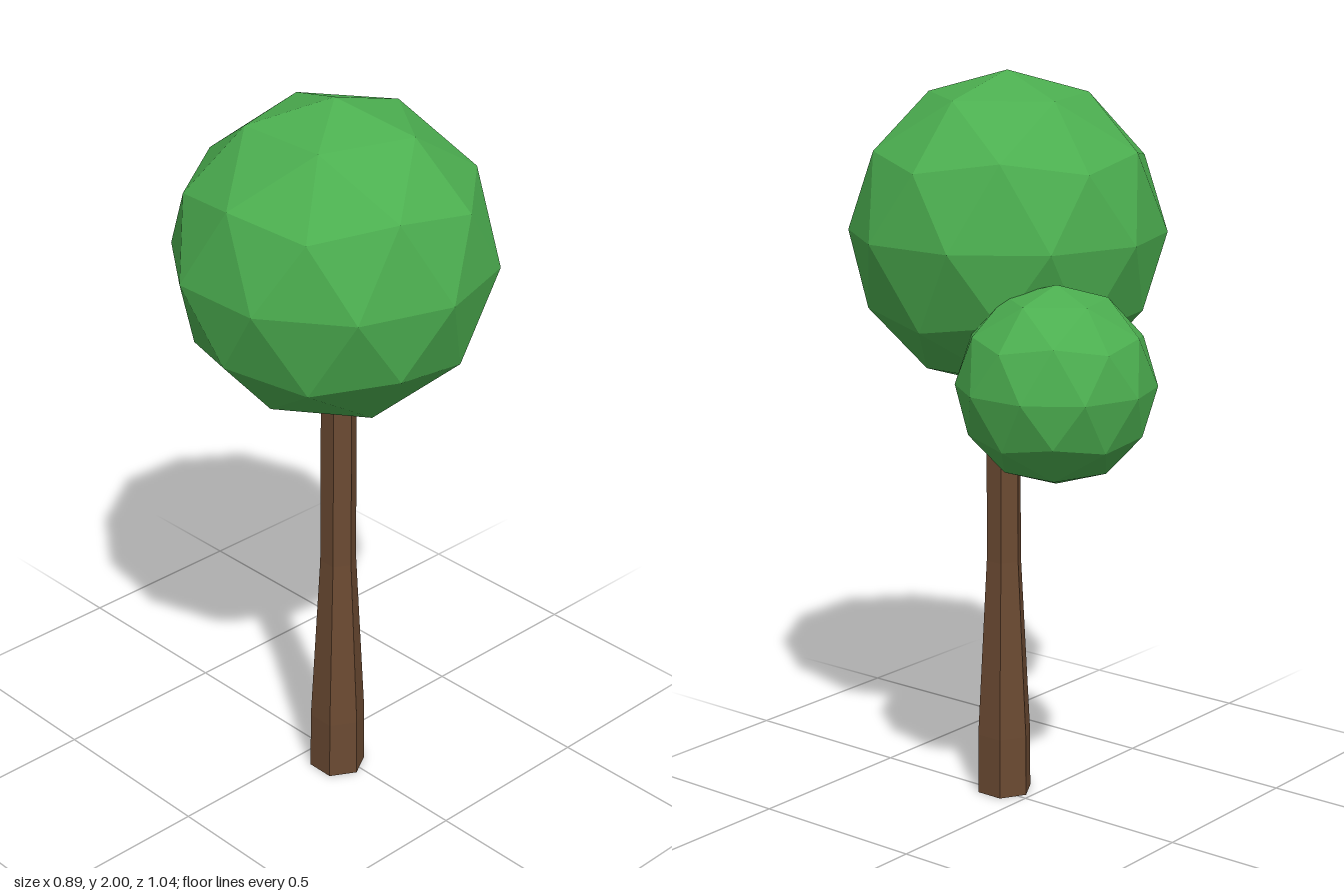
import * as THREE from 'three';

const leaf = new THREE.MeshStandardMaterial({ color: 0x4caf50, flatShading: true });
const bark = new THREE.MeshStandardMaterial({ color: 0x6b4a32, flatShading: true });

function part(name, geometry, material, x = 0, y = 0, z = 0) {
  const mesh = new THREE.Mesh(geometry, material);
  mesh.name = name;
  mesh.position.set(x, y, z);
  return mesh;
}

// Faceted ball of leaves, turned so that one corner points straight up
function crown(name, radius, x, y, z) {
  const geometry = new THREE.IcosahedronGeometry(radius, 1);
  geometry.rotateZ(-Math.atan(2 / (1 + Math.sqrt(5))));
  return part(name, geometry, leaf, x, y, z);
}

// Six-sided trunk: flared foot, taper, straight upper half
function trunk() {
  const profile = [[0, 0], [0.078, 0], [0.077, 0.17], [0.05, 0.67], [0.048, 1.25], [0, 1.25]];
  const points = profile.map(([r, y]) => new THREE.Vector2(r, y));
  return part('trunk', new THREE.LatheGeometry(points, 6), bark, -0.022, 0, 0.093);
}

// Bent six-sided branch that thins towards the small crown
function branch() {
  const curve = new THREE.CatmullRomCurve3([
    new THREE.Vector3(-0.02, 1.05, 0.09),
    new THREE.Vector3(0.05, 1.07, 0.01),
    new THREE.Vector3(0.115, 1.1, -0.08),
    new THREE.Vector3(0.17, 1.19, -0.2),
  ]);
  const steps = 4, sides = 6;
  const geometry = new THREE.TubeGeometry(curve, steps, 1, sides);
  const pos = geometry.attributes.position;
  const v = new THREE.Vector3();
  for (let i = 0; i < pos.count; i++) {
    const t = Math.floor(i / (sides + 1)) / steps;
    const centre = curve.getPointAt(t);
    v.fromBufferAttribute(pos, i).sub(centre).multiplyScalar(0.03 - 0.014 * t).add(centre);
    pos.setXYZ(i, v.x, v.y, v.z);
  }
  return part('branch', geometry, bark);
}

export function createModel() {
  const tree = new THREE.Group();
  tree.name = 'tree';
  tree.add(
    trunk(),
    branch(),
    crown('mainCrown', 0.425, -0.039, 1.575, 0.092),
    crown('smallCrown', 0.258, 0.199, 1.244, -0.26),
  );
  return tree;
}
